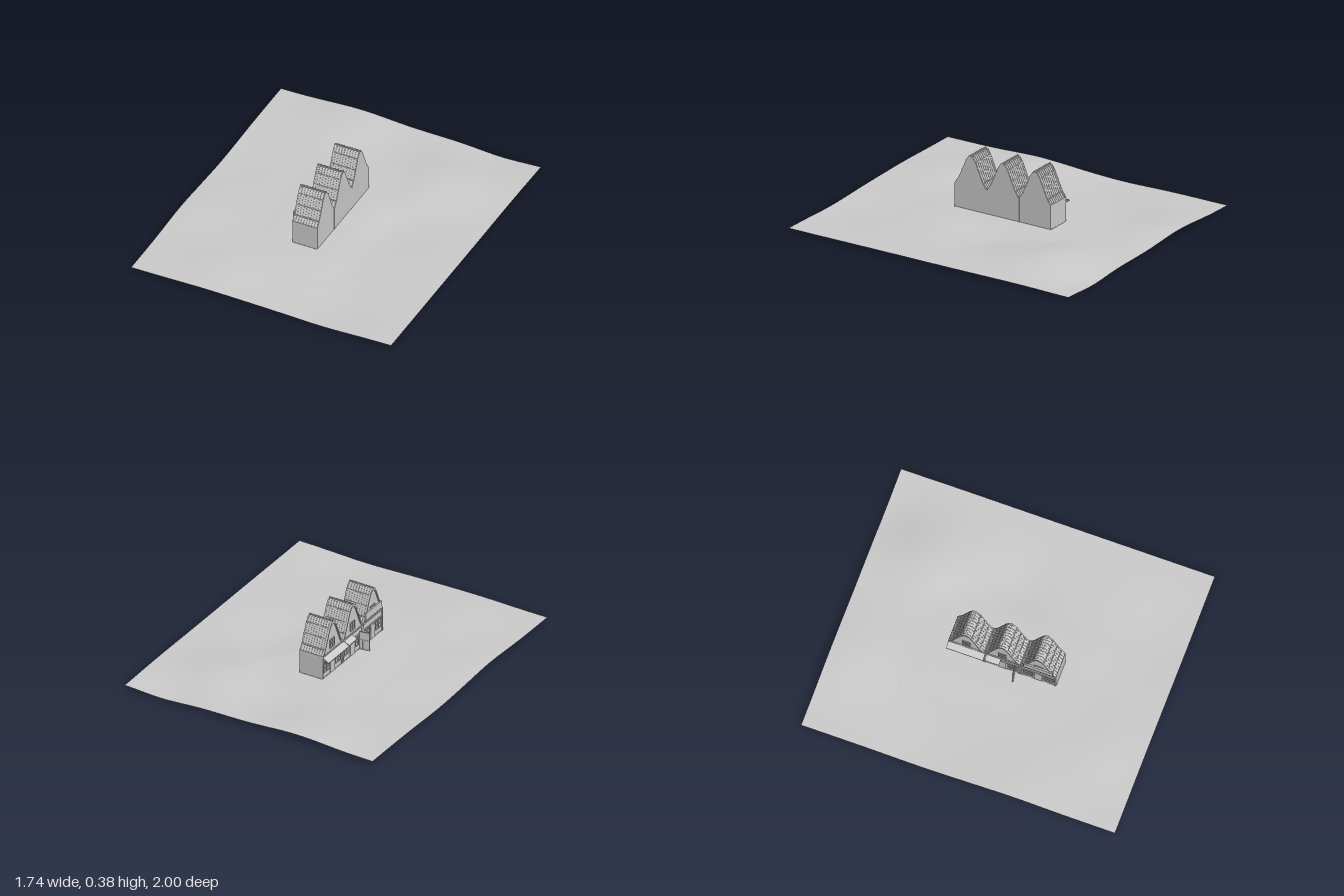
import * as THREE from 'three';

const grey = new THREE.MeshStandardMaterial({ color: 0xcccccc, side: THREE.DoubleSide });
const flat = new THREE.MeshStandardMaterial({ color: 0xcccccc, side: THREE.DoubleSide, flatShading: true });

// Flared gable outline, as [distance from the ridge, height], eave to peak
const SLOPE = [[0.113, 0.178], [0.088, 0.212], [0.062, 0.272], [0.035, 0.335], [0.017, 0.363], [0, 0.37]];
const BACK = 0.05, FACE = -0.11, BASE = 0.03;

function box(name, x0, x1, y0, y1, z0, z1) {
  const mesh = new THREE.Mesh(new THREE.BoxGeometry(x1 - x0, y1 - y0, z1 - z0), flat);
  mesh.position.set((x0 + x1) / 2, (y0 + y1) / 2, (z0 + z1) / 2);
  mesh.name = name;
  return mesh;
}

// Extrude a (z, y) outline along x from x0 to x1
function alongX(name, points, x0, x1) {
  const shape = new THREE.Shape(points.map(([z, y]) => new THREE.Vector2(-z, y)));
  const geo = new THREE.ExtrudeGeometry(shape, { depth: x1 - x0, bevelEnabled: false });
  geo.rotateY(Math.PI / 2).translate(x0, 0, 0);
  const mesh = new THREE.Mesh(geo, flat);
  mesh.name = name;
  return mesh;
}

const bothSides = (rise) => [
  ...SLOPE.map(([z, y]) => [z, y + rise]),
  ...SLOPE.slice(0, -1).reverse().map(([z, y]) => [-z, y + rise]),
];

// Band that follows the roof slope between two heights
const roofBand = (low, high) => [...bothSides(high), ...bothSides(low).reverse()];

// Rolling ground, levelled under the houses
function groundHeight(x, z) {
  const hills = [
    [0.4, -0.6, 0.03, 0.28], [-0.34, -0.9, 0.026, 0.28], [-0.8, 0.35, 0.016, 0.25], [-0.38, 0.72, 0.017, 0.26],
    [0.4, 0.85, -0.016, 0.28], [0.6, -1, -0.018, 0.22], [0.42, -0.05, -0.014, 0.22], [-0.8, -0.25, -0.01, 0.25],
  ];
  let y = 0.021;
  for (const [cx, cz, h, r] of hills) y += h * Math.exp(-((x - cx) ** 2 + (z - cz) ** 2) / (r * r));
  const away = Math.hypot(Math.max(Math.abs(x + 0.04) - 0.15, 0), Math.max(Math.abs(z) - 0.4, 0));
  return THREE.MathUtils.lerp(0.028, Math.max(y, 0), THREE.MathUtils.smoothstep(away, 0, 0.25));
}

function makeGround() {
  const geo = new THREE.PlaneGeometry(1.74, 2, 60, 68).rotateX(-Math.PI / 2);
  const p = geo.attributes.position;
  for (let i = 0; i < p.count; i++) p.setY(i, groundHeight(p.getX(i), p.getZ(i)));
  geo.computeVertexNormals();
  const mesh = new THREE.Mesh(geo, grey);
  mesh.name = 'ground';
  return mesh;
}

function makeWindow(z, y, w, h) {
  const g = new THREE.Group();
  g.name = 'window';
  const t = 0.004, x0 = FACE - 0.005;
  for (const s of [-1, 0, 1]) g.add(box('windowUpright', x0, FACE, y, y + h, z + s * w / 2 - t / 2, z + s * w / 2 + t / 2));
  for (const k of [0, 0.5, 1]) g.add(box('windowRail', x0, FACE, y + k * h - t / 2, y + k * h + t / 2, z - w / 2, z + w / 2));
  return g;
}

function makeHouse(z) {
  const g = new THREE.Group();
  g.name = 'house';
  g.position.z = z;
  g.add(alongX('walls', [[0.113, BASE], ...bothSides(0), [-0.113, BASE]], FACE, BACK));
  g.add(alongX('roof', roofBand(0, 0.006), FACE - 0.003, BACK));
  g.add(alongX('gableTrim', roofBand(-0.008, 0.009), FACE - 0.008, FACE));
  g.add(box('ridge', FACE - 0.01, BACK, 0.372, 0.382, -0.004, 0.004));
  // Tile ribs running down the slopes
  for (let i = 0; i < 9; i++) {
    const x = FACE + 0.009 + i * 0.018;
    g.add(alongX('roofRib', roofBand(0.005, 0.011), x - 0.003, x + 0.003));
  }
  // Tile courses running along the slopes
  for (const [d, y] of SLOPE.slice(1, 4)) {
    for (const s of [-1, 1]) g.add(box('tileCourse', FACE, BACK, y, y + 0.009, s * d - 0.002, s * d + 0.002));
  }
  // Facade posts, beams and windows
  for (const s of [-1, 1]) g.add(box('cornerPost', FACE - 0.006, FACE, BASE, 0.178, s * 0.109 - 0.004, s * 0.109 + 0.004));
  g.add(box('facadeBeam', FACE - 0.006, FACE, 0.172, 0.18, -0.112, 0.112));
  g.add(box('facadeBeam', FACE - 0.006, FACE, 0.128, 0.134, -0.112, 0.112));
  g.add(makeWindow(0, 0.2, 0.05, 0.055));
  g.add(makeWindow(-0.065, 0.065, 0.06, 0.055), makeWindow(0.065, 0.065, 0.06, 0.055));
  g.add(box('door', FACE - 0.005, FACE, BASE, 0.125, -0.024, 0.024));
  // Footing strips
  for (const s of [-1, 1]) g.add(box('footing', FACE, BACK, 0.02, BASE, s * 0.112 - 0.002, s * 0.112 + 0.002));
  g.add(box('footing', FACE - 0.003, FACE + 0.003, 0.02, BASE, -0.113, 0.113));
  return g;
}

// Sloping awning on the facade, carried on struts
function makeAwning(z0, z1, reach, low, high) {
  const g = new THREE.Group();
  g.name = 'awning';
  g.add(alongX('awningEdge', [[z0, low - 0.006], [z1, low - 0.006], [z1, low], [z0, low]], FACE - reach, FACE - reach + 0.003));
  const length = Math.hypot(reach, high - low);
  const sheet = new THREE.Mesh(new THREE.BoxGeometry(length, 0.004, z1 - z0), flat);
  sheet.name = 'awningSheet';
  sheet.position.set(FACE - reach / 2, (low + high) / 2, (z0 + z1) / 2);
  sheet.rotation.z = Math.atan2(high - low, reach);
  g.add(sheet);
  for (const z of [z0 + 0.004, z1 - 0.004]) g.add(box('awningStrut', FACE - reach, FACE, low - 0.006, low - 0.002, z - 0.002, z + 0.002));
  return g;
}

// Framed leaf standing open from the facade
function makeOpenLeaf() {
  const g = new THREE.Group();
  g.name = 'openLeaf';
  for (const x of [-0.065, -0.003]) g.add(box('leafStile', x, x + 0.004, 0, 0.12, -0.003, 0.003));
  for (const y of [0, 0.062, 0.115]) g.add(box('leafRail', -0.065, 0.001, y, y + 0.005, -0.003, 0.003));
  g.add(box('leafPanel', -0.064, 0, 0.002, 0.118, -0.001, 0.001));
  for (const x of [-0.05, -0.02]) g.add(box('leafBatten', x, x + 0.004, 0, 0.062, -0.003, 0.003));
  g.position.set(-0.115, BASE, 0.085);
  g.rotation.y = 0.16;
  return g;
}

export function createModel() {
  const model = new THREE.Group();
  model.name = 'gabledRowOnGround';
  model.add(makeGround());
  for (const z of [0.235, 0.005, -0.225]) model.add(makeHouse(z));
  // Strips covering the joints between houses
  for (const z of [0.12, -0.11]) model.add(box('jointStrip', FACE, BACK + 0.002, BASE, 0.185, z - 0.004, z + 0.004));
  model.add(makeAwning(-0.338, -0.102, 0.045, 0.152, 0.176));
  model.add(makeAwning(-0.095, -0.002, 0.04, 0.152, 0.172));
  model.add(box('fasciaBoard', FACE - 0.012, FACE - 0.002, 0.195, 0.244, 0.145, 0.328));
  model.add(makeOpenLeaf());
  return model;
}
